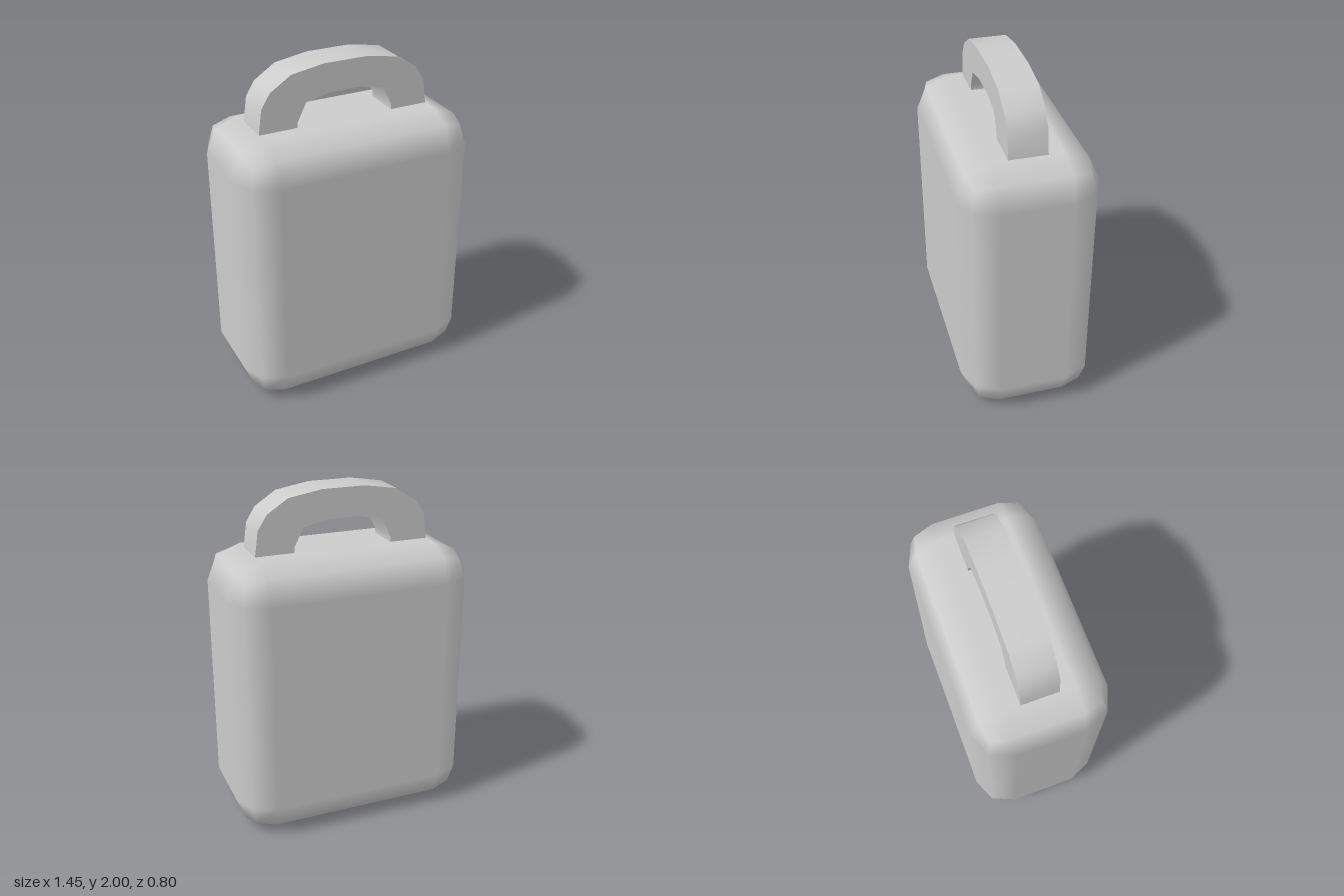
import * as THREE from 'three';
import { toCreasedNormals } from 'three/addons/utils/BufferGeometryUtils.js';
import { RoundedBoxGeometry } from 'three/addons/geometries/RoundedBoxGeometry.js';

export function createModel() {
  const model = new THREE.Group();
  model.name = 'carryCase';
  const material = new THREE.MeshStandardMaterial({ color: 0xcccccc });
  const bodyTop = 1.655;

  // Rounded case with a coarse two-facet bevel
  const body = new THREE.Mesh(new RoundedBoxGeometry(1.45, bodyTop, 0.8, 1, 0.2), material);
  body.name = 'body';
  body.position.y = bodyTop / 2;
  model.add(body);

  // Arched handle: half outlines mirrored across x = 0
  const outer = [[0.525, bodyTop], [0.505, 1.80], [0.452, 1.885], [0.327, 1.967], [0.13, 2]];
  const inner = [[0.295, bodyTop], [0.295, 1.685], [0.241, 1.795], [0.093, 1.828]];
  const arch = (half) => [
    ...half.map(([x, y]) => new THREE.Vector2(x, y)),
    ...[...half].reverse().map(([x, y]) => new THREE.Vector2(-x, y)),
  ];
  const outline = new THREE.Shape([...arch(outer), ...arch(inner).reverse()]);
  const depth = 0.22;
  const handleGeometry = new THREE.ExtrudeGeometry(outline, { depth, bevelEnabled: false });
  handleGeometry.translate(0, 0, -depth / 2);
  const handle = new THREE.Mesh(toCreasedNormals(handleGeometry, 0.6), material);
  handle.name = 'handle';
  model.add(handle);

  return model;
}
